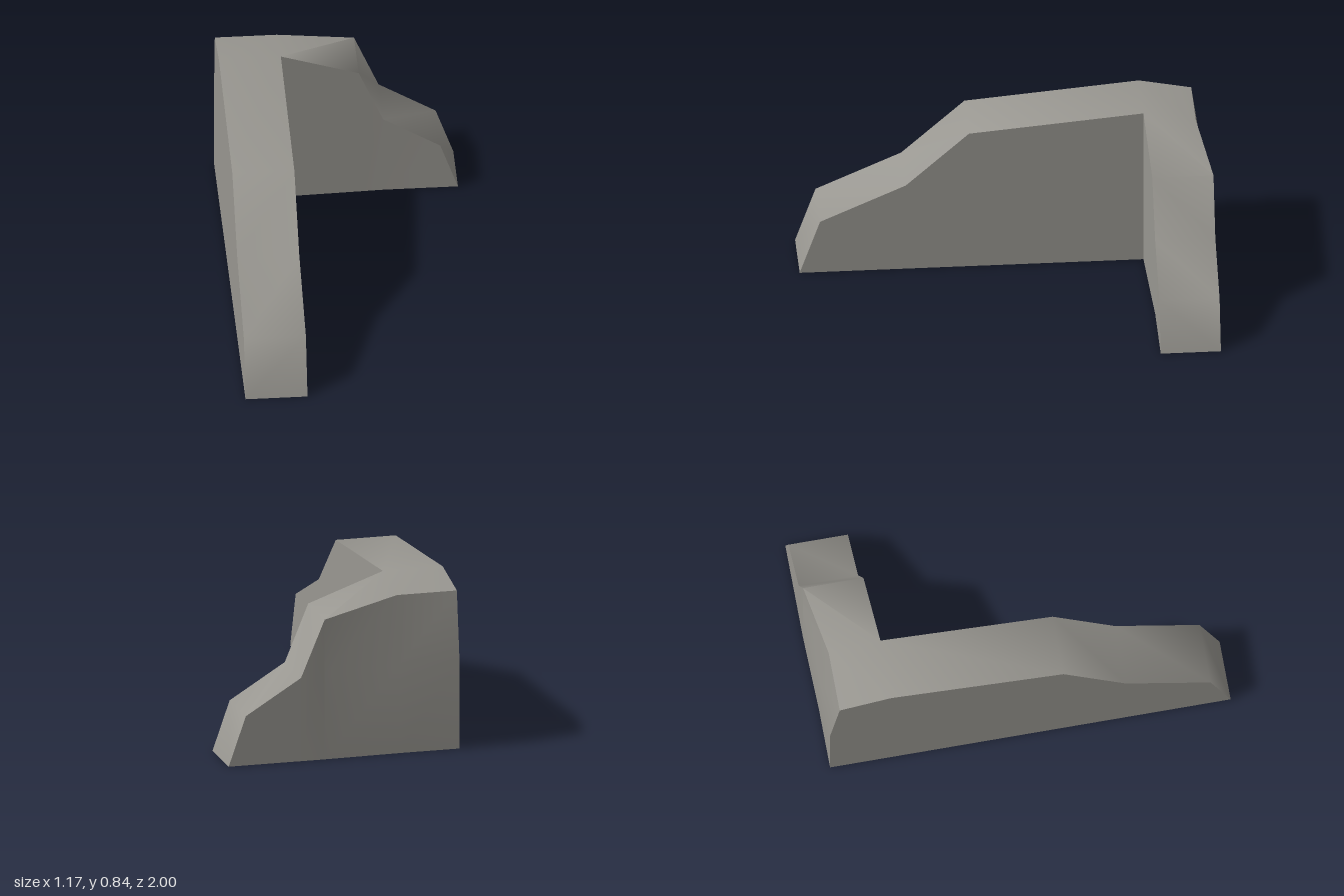
import * as THREE from 'three';
import { toCreasedNormals } from 'three/addons/utils/BufferGeometryUtils.js';

const OUT = -0.587, INN = -0.283; // outer and inner side of the long arm

// Long arm profile, front to back: [z, top height]
const longProfile = [
  [1, 0], [0.9, 0.29], [0.48, 0.48], [0.17, 0.765],
  [-0.685, 0.842], [-0.942, 0.79], [-0.99, 0.45],
];

// Short arm sections, from the corner outward: [x, front z, front top, back z, back top]
const shortSections = [
  [INN, -0.685, 0.842, -0.942, 0.79],
  [0.1, -0.7, 0.71, -1, 0.71],
  [0.22, -0.705, 0.423, -1, 0.423],
  [0.5, -0.705, 0.25, -1, 0.25],
  [0.587, -0.705, 0, -1, 0],
];

export function createModel() {
  const positions = [];
  const tri = (a, b, c) => {
    const [A, B, C] = [a, b, c].map((p) => new THREE.Vector3(...p));
    if (B.sub(A).cross(C.sub(A)).length() > 1e-7) positions.push(...a, ...b, ...c);
  };
  const quad = (a, b, c, d) => { tri(a, b, c); tri(a, c, d); };

  // Long arm: outer wall, inner wall up to the corner, sloping top and back bevel
  for (let i = 0; i < longProfile.length - 1; i++) {
    const [z0, y0] = longProfile[i], [z1, y1] = longProfile[i + 1];
    quad([OUT, 0, z1], [OUT, 0, z0], [OUT, y0, z0], [OUT, y1, z1]);
    if (i < 4) quad([INN, 0, z0], [INN, 0, z1], [INN, y1, z1], [INN, y0, z0]);
    quad([OUT, y0, z0], [INN, y0, z0], [INN, y1, z1], [OUT, y1, z1]);
  }

  // Upright back of the corner
  const [zBack, yBack] = longProfile[6];
  quad([INN, 0, zBack], [OUT, 0, zBack], [OUT, yBack, zBack], [INN, yBack, zBack]);

  // Short arm: front wall, top and back wall
  for (let i = 0; i < shortSections.length - 1; i++) {
    const [x0, f0, fy0, b0, by0] = shortSections[i];
    const [x1, f1, fy1, b1, by1] = shortSections[i + 1];
    quad([x0, 0, f0], [x1, 0, f1], [x1, fy1, f1], [x0, fy0, f0]);
    quad([x0, fy0, f0], [x1, fy1, f1], [x1, by1, b1], [x0, by0, b0]);
    if (i === 0) {
      // the back bevel fades out along the first section
      const low = [x0, yBack, zBack], mid = [x1, 0.43, b1];
      quad([x1, 0, b1], [x0, 0, zBack], low, mid);
      quad(mid, low, [x0, by0, b0], [x1, by1, b1]);
    } else {
      quad([x1, 0, b1], [x0, 0, b0], [x0, by0, b0], [x1, by1, b1]);
    }
  }

  let geometry = new THREE.BufferGeometry();
  geometry.setAttribute('position', new THREE.Float32BufferAttribute(positions, 3));
  geometry = toCreasedNormals(geometry, THREE.MathUtils.degToRad(55));

  // Open underneath, so both sides show
  const stone = new THREE.MeshStandardMaterial({ color: 0x999791, side: THREE.DoubleSide });
  stone.name = 'warm grey';

  const shell = new THREE.Mesh(geometry, stone);
  shell.name = 'cornerWall';
  const group = new THREE.Group();
  group.name = 'steppedCornerWall';
  group.add(shell);
  return group;
}
